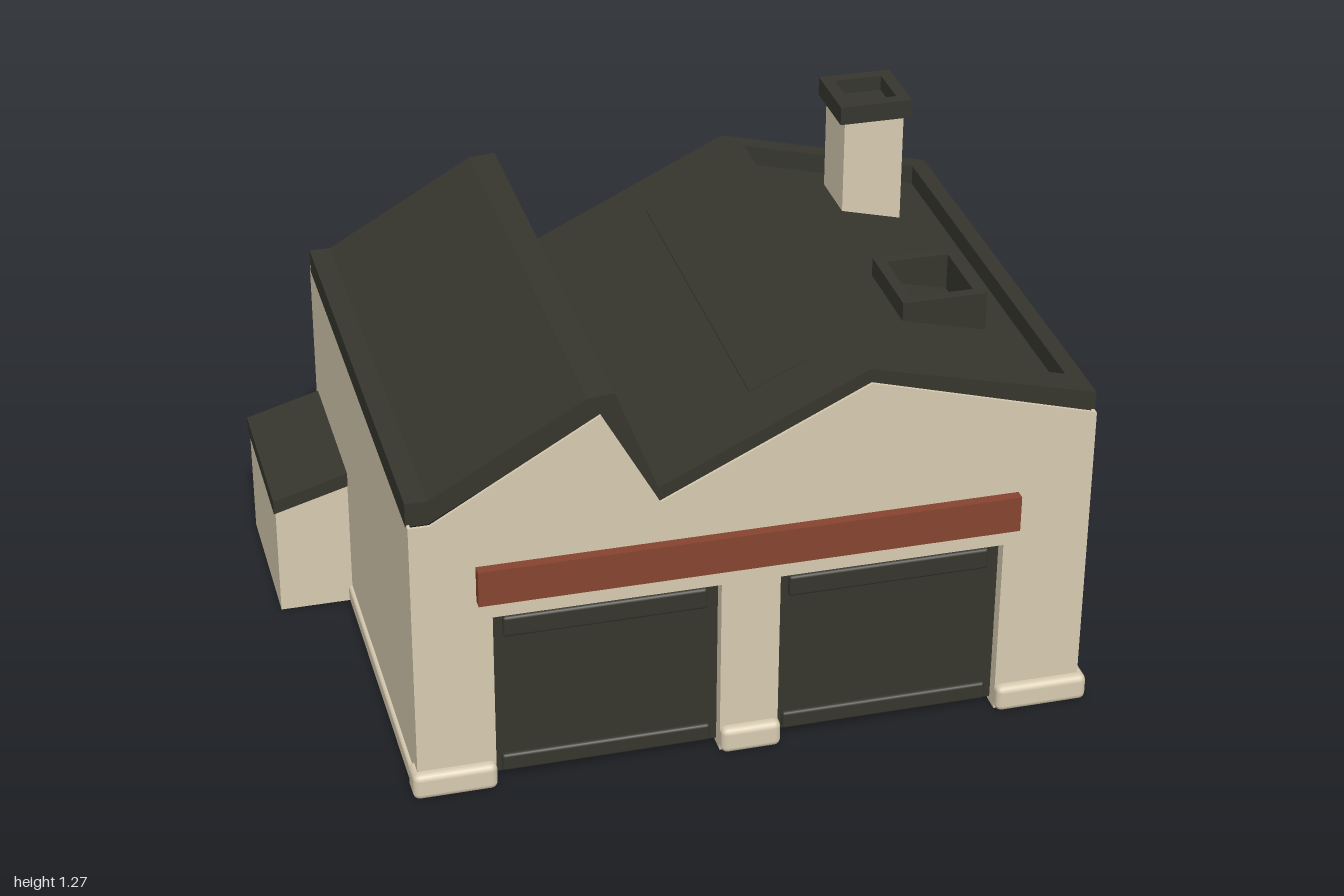
import * as THREE from 'three';
import { RoundedBoxGeometry } from 'three/addons/geometries/RoundedBoxGeometry.js';

const mat = (name, color) => {
  const m = new THREE.MeshStandardMaterial({ color, side: THREE.DoubleSide });
  m.name = name;
  return m;
};

export function createModel() {
  const plaster = mat('plaster', 0xd7cab0);
  const slate = mat('slate', 0x36362e);
  const rust = mat('rustRed', 0x86442f);
  const wood = mat('wood', 0x87583b);
  const stone = mat('stone', 0x7d7f80);
  const steel = mat('steel', 0x737d85);

  const model = new THREE.Group();
  model.name = 'workshop';

  const add = (name, geo, m, parent = model) => {
    const mesh = new THREE.Mesh(geo, m);
    mesh.name = name;
    parent.add(mesh);
    return mesh;
  };
  const group = (name) => {
    const g = new THREE.Group();
    g.name = name;
    model.add(g);
    return g;
  };
  // box given by its extents, optionally rounded
  const box = (name, x0, x1, y0, y1, z0, z1, m, parent = model, r = 0) => {
    const s = [x1 - x0, y1 - y0, z1 - z0];
    const geo = r ? new RoundedBoxGeometry(...s, 2, r) : new THREE.BoxGeometry(...s);
    geo.translate((x0 + x1) / 2, (y0 + y1) / 2, (z0 + z1) / 2);
    return add(name, geo, m, parent);
  };
  const points = (list) => list.map(([x, y]) => new THREE.Vector2(x, y));
  const rect = (x0, x1, y0, y1) => [[x0, y0], [x1, y0], [x1, y1], [x0, y1]];
  // outline with holes, extruded from z0 to z1
  const extrude = (outline, holes, z0, z1) => {
    const shape = new THREE.Shape(points(outline));
    holes.forEach((h) => shape.holes.push(new THREE.Path(points(h))));
    return new THREE.ExtrudeGeometry(shape, { depth: z1 - z0, bevelEnabled: false }).translate(0, 0, z0);
  };

  // thin gable walls with doorways open to the ground
  const gable = [[0.98, 0.88], [0.38, 1.05], [-0.16, 0.79], [-0.31, 1.06], [-0.74, 0.81], [-0.795, 0.81]];
  const top = 0.52;
  const doorway = ([a, b]) => [[a, 0.01], [a, top], [b, top], [b, 0.01]];
  const frontDoors = [[-0.59, 0], [0.155, 0.75]];
  const backDoors = [[-0.59, 0], [0.25, 0.86]];
  const rightDoors = [[-0.605, -0.065], [0.11, 0.56]];
  add('frontWall', extrude(
    [[-0.795, 0.01], ...frontDoors.flatMap(doorway), [0.98, 0.01], ...gable], [], 0.777, 0.785), plaster);
  add('backWall', extrude(
    [[-0.795, 0.01], ...backDoors.flatMap(doorway), [0.98, 0.01], ...gable],
    [[[0.06, 0.1], [0.15, 0.1], [0.19, 0.46]]], -0.63, -0.622), plaster);

  // side walls; the right one is drawn along -z and turned
  add('rightWall', extrude(
    [[-0.78, 0.01], ...rightDoors.flatMap(doorway), [0.625, 0.01], [0.625, 0.88], [-0.78, 0.88]],
    [], 0.972, 0.98).rotateY(Math.PI / 2), plaster);
  box('leftWall', -0.795, -0.787, 0.01, 0.81, -0.625, 0.78, plaster);
  box('leftBaseStrip', -0.805, -0.775, 0.01, 0.06, -0.6, 0.72, plaster, model, 0.01);

  // jambs and lintels lining each doorway
  const lining = ([a, b], z0, z1) => extrude(
    [...doorway([a - 0.008, b + 0.008]).map(([x, y]) => [x, y === top ? top + 0.008 : y]), ...doorway([a, b]).reverse()],
    [], z0, z1);
  frontDoors.forEach((d) => add('doorLining', lining(d, 0.735, 0.78), plaster));
  backDoors.forEach((d) => add('doorLining', lining(d, -0.625, -0.585), plaster));
  rightDoors.forEach((d) => add('doorLining', lining(d, 0.935, 0.975).rotateY(Math.PI / 2), plaster));

  // plinths at the feet of the piers
  const plinths = group('plinths');
  const plinth = (x0, x1, z0, z1) => box('plinth', x0, x1, 0.01, 0.085, z0, z1, plaster, plinths, 0.018);
  [[-0.81, -0.59], [0, 0.16], [0.75, 1]].forEach(([a, b]) => plinth(a, b, 0.73, 0.81));
  [[-0.81, -0.59], [0, 0.25], [0.86, 1]].forEach(([a, b]) => plinth(a, b, -0.66, -0.58));
  [[0.59, 0.81], [-0.12, 0.08], [-0.65, -0.56]].forEach(([a, b]) => plinth(0.92, 1, a, b));

  // roll-up doors, built facing +z and then turned
  const rollDoor = (width, x, z, turn) => {
    const g = group('rollUpDoor');
    const w = width / 2;
    box('doorPanel', -w, w, 0.025, top, -0.008, 0, slate, g);
    box('doorHousing', -w + 0.03, w - 0.03, 0.44, 0.5, -0.004, 0.015, slate, g, 0.008);
    box('doorBottomBar', -w + 0.02, w - 0.02, 0.03, 0.08, -0.004, 0.015, slate, g, 0.008);
    g.position.set(x, 0, z);
    g.rotation.y = turn;
  };
  rollDoor(0.59, -0.295, 0.75, 0);
  rollDoor(0.595, 0.4525, 0.75, 0);
  rollDoor(0.54, 0.95, 0.335, Math.PI / 2);
  rollDoor(0.45, 0.95, -0.335, Math.PI / 2);
  rollDoor(0.59, -0.295, -0.6, Math.PI);

  // roof sheets: top line minus thickness, extruded along z
  const sheet = (name, line, t, z0, z1, parent) => {
    const under = line.map(([x, y]) => [x, y - t]).reverse();
    return add(name, extrude([...line, ...under], [], z0, z1), slate, parent);
  };
  const roof = group('roof');
  add('sawtoothRoof', extrude(
    [[-0.797, 0.805], [-0.797, 0.87], [-0.74, 0.87], [-0.34, 1.1], [-0.27, 1.105], [-0.16, 0.82],
      [0.38, 1.08], [0.43, 1.068], [0.43, 1.0], [0.38, 1.03], [-0.16, 0.78], [-0.31, 1.05], [-0.74, 0.805]],
    [], -0.605, 0.765), slate, roof);
  const slopeY = (x) => 1.08 - (x - 0.38) * 0.25;
  const slope = (a, b, drop = 0) => [[a, slopeY(a) - drop], [b, slopeY(b) - drop]];
  sheet('recessedRoof', slope(0.42, 0.95, 0.055), 0.012, -0.59, 0.75, roof);
  sheet('frontRim', slope(0.43, 0.983), 0.065, 0.68, 0.765, roof);
  sheet('backRim', slope(0.43, 0.983), 0.065, -0.605, -0.55, roof);
  sheet('rightRim', slope(0.93, 0.983), 0.065, -0.605, 0.765, roof);

  // skylight lying almost flush in the middle slope
  const riseY = (x) => 0.823 + (x + 0.16) * 0.4815;
  sheet('skylight', [[0.12, riseY(0.12)], [0.27, riseY(0.27)]], 0.009, -0.45, 0.59, roof);

  // square open tubes: chimney cap and vent
  const ring = (name, x0, x1, z0, z1, wall, y0, y1, m, parent) => {
    const geo = extrude(rect(x0, x1, -z1, -z0), [rect(x0 + wall, x1 - wall, -z1 + wall, -z0 - wall)], y0, y1);
    return add(name, geo.rotateX(-Math.PI / 2), m, parent);
  };
  const chimney = group('chimney');
  box('chimneyShaft', 0.642, 0.81, 0.91, 1.235, -0.47, -0.3, plaster, chimney);
  ring('chimneyCap', 0.625, 0.828, -0.49, -0.285, 0.035, 1.23, 1.282, slate, chimney);
  box('chimneyMouth', 0.65, 0.8, 1.235, 1.24, -0.46, -0.31, slate, chimney);
  ring('roofVent', 0.6, 0.83, 0.1, 0.36, 0.03, 0.91, 1.022, slate);

  // fascia board over the front doors
  box('fasciaBoard', -0.63, 0.782, 0.575, 0.675, 0.78, 0.813, rust);

  // lean-to on the left side
  const leanTo = group('leanTo');
  add('leanToBody', extrude([[-0.995, 0.012], [-0.79, 0.012], [-0.79, 0.39], [-0.995, 0.33]], [], -0.6, -0.145), plaster, leanTo);
  sheet('leanToRoof', [[-1, 0.365], [-0.79, 0.425]], 0.04, -0.605, -0.14, leanTo);

  // back entrance: open-bottomed steps
  const entrance = group('backEntrance');
  for (let i = 0; i < 4; i++) {
    const d = i * 0.027;
    const h = 0.024 + i * 0.018;
    const [a, b, z] = [0.335 + d, 0.785 - d, -0.812 + d];
    box('stepFront', a, b, 0.012, h, z, z + 0.028, stone, entrance);
    box('stepSide', a, a + 0.028, 0.012, h, z + 0.028, -0.6, stone, entrance);
    box('stepSide', b - 0.028, b, 0.012, h, z + 0.028, -0.6, stone, entrance);
  }
  // door jambs
  for (const s of [-1, 1]) {
    for (const [off, z] of [[0.22, -0.6], [0.175, -0.615]]) {
      const x = 0.56 + s * off;
      box('doorJamb', x - 0.014, x + 0.014, 0.03, 0.5, z - 0.02, z + 0.02, steel, entrance);
    }
  }
  // wooden porch with a leaning front, open on top
  const side = [[0.62, 0.08], [0.71, 0.08], [0.75, 0.43], [0.62, 0.465]];
  const face = [[0.69, 0.08], [0.71, 0.08], [0.75, 0.43], [0.73, 0.436]];
  const porch = (name, outline, x0, x1) =>
    add(name, extrude(outline, [], x0, x1).rotateY(Math.PI / 2), wood, entrance);
  porch('porchSide', side, 0.43, 0.445);
  porch('porchSide', side, 0.675, 0.69);
  porch('porchFront', face, 0.43, 0.69);

  // canopy frame of sloping bars
  const bar = (a, b) => {
    const curve = new THREE.LineCurve3(new THREE.Vector3(...a), new THREE.Vector3(...b));
    add('canopyBar', new THREE.TubeGeometry(curve, 1, 0.024, 8), plaster, entrance);
  };
  for (const x of [0.4, 0.72]) bar([x, 0.513, -0.61], [x, 0.447, -0.8]);
  bar([0.38, 0.45, -0.788], [0.74, 0.45, -0.788]);

  return model;
}
